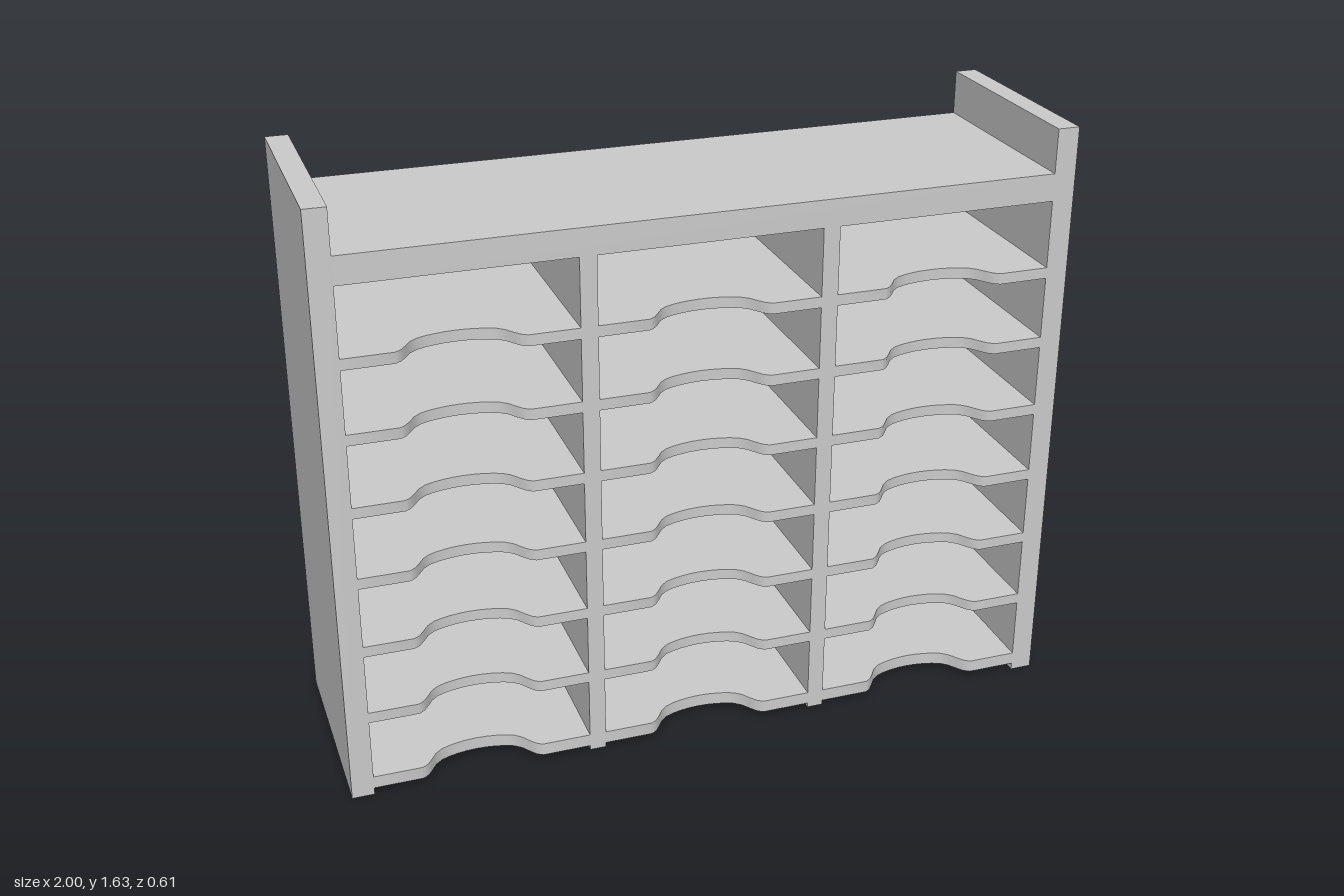
import * as THREE from 'three';
import { toCreasedNormals } from 'three/addons/utils/BufferGeometryUtils.js';

const FRONT = 0.305, BACK = -0.285;
const material = new THREE.MeshStandardMaterial({ color: 0xcccccc });

// Board given by its extents on each axis
function board(name, x0, x1, y0, y1, z0 = BACK, z1 = FRONT) {
  const geometry = new THREE.BoxGeometry(x1 - x0, y1 - y0, z1 - z0);
  const mesh = new THREE.Mesh(geometry, material);
  mesh.position.set((x0 + x1) / 2, (y0 + y1) / 2, (z0 + z1) / 2);
  mesh.name = name;
  return mesh;
}

// Shelf with a curved finger cutout in its front edge, base at y = 0
function shelfGeometry(x0, x1, thickness) {
  const mid = (x0 + x1) / 2;
  const half = [[-0.165, 0], [-0.145, 0.014], [-0.11, 0.06], [-0.06, 0.08]];
  const cutout = [...half, [0, 0.087], ...half.map(([x, d]) => [-x, d]).reverse()];
  const shape = new THREE.Shape();
  shape.moveTo(x0, -FRONT);
  shape.lineTo(mid - 0.165, -FRONT);
  shape.splineThru(cutout.slice(1).map(([x, d]) => new THREE.Vector2(mid + x, d - FRONT)));
  shape.lineTo(x1, -FRONT);
  shape.lineTo(x1, -BACK);
  shape.lineTo(x0, -BACK);
  shape.closePath();
  const geometry = new THREE.ExtrudeGeometry(shape, { depth: thickness, bevelEnabled: false, curveSegments: 2 });
  geometry.rotateX(-Math.PI / 2);
  return toCreasedNormals(geometry, 0.6);
}

export function createModel() {
  const model = new THREE.Group();
  model.name = 'pigeonholeCabinet';

  // Carcass
  model.add(
    board('rightSide', -1, -0.94, 0, 1.635),
    board('leftSide', 0.94, 1, 0, 1.635),
    board('topBoard', -0.94, 0.94, 1.44, 1.515),
    board('backPanel', -0.955, 0.955, 0.015, 1.48, -0.305, BACK),
    board('rightDivider', -0.345, -0.3, 0.007, 1.44),
    board('leftDivider', 0.295, 0.34, 0.007, 1.44),
  );

  // Seven shelves in each of three bays, the lowest slightly thicker
  const bays = [[-0.94, -0.345], [-0.3, 0.295], [0.34, 0.94]];
  bays.forEach(([x0, x1], bay) => {
    const bottom = shelfGeometry(x0, x1, 0.035);
    const upper = shelfGeometry(x0, x1, 0.03);
    for (let row = 0; row < 7; row++) {
      const shelf = new THREE.Mesh(row ? upper : bottom, material);
      shelf.position.y = row ? 0.025 + row * 0.2 : 0.02;
      shelf.name = `shelfBay${bay + 1}Row${row + 1}`;
      model.add(shelf);
    }
  });
  return model;
}
